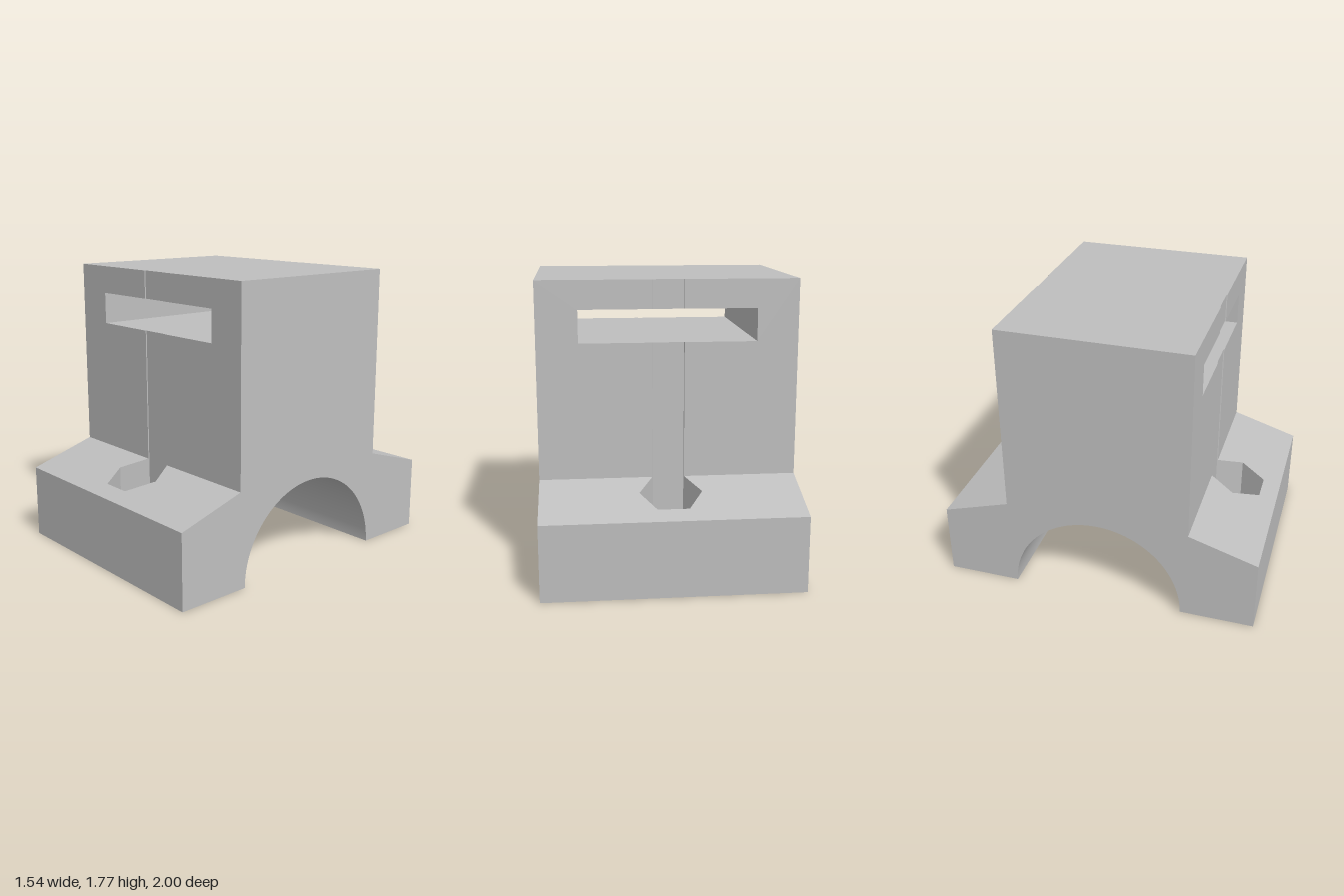
import * as THREE from 'three';

const W = 0.77;                      // half width
const TOP = 1.77, WALL = 0.575;      // upper block height and half depth
const FOOT = 0.46, SHOULDER = 0.59;  // flange height at its rim and at the block
const ARCH = 0.54, HOLE = 0.105;     // saddle and bolt hole radii
const HEX = 0.185, HEX_Z = 0.73, FLOOR = 0.25; // nut pocket
const SLOT_W = 0.525, SLOT_LO = 1.405, SLOT_HI = 1.6;

const slopeY = (z) => SHOULDER - (z - WALL) * (SHOULDER - FOOT) / (1 - WALL);

export function createModel() {
  const grey = new THREE.MeshStandardMaterial({ color: 0xbfbfbf, side: THREE.DoubleSide });
  grey.name = 'light grey';

  const model = new THREE.Group();
  model.name = 'saddleClamp';

  const add = (parent, name, geometry) => {
    const mesh = new THREE.Mesh(geometry, grey);
    mesh.name = name;
    parent.add(mesh);
    return mesh;
  };

  // Flat panel: a 2D outline placed in space by a mapping rule
  const panel = (parent, name, points, map, holes = []) => {
    const shape = new THREE.Shape(points.map(([a, b]) => new THREE.Vector2(a, b)));
    shape.holes.push(...holes);
    const geometry = new THREE.ShapeGeometry(shape, 24);
    const pos = geometry.attributes.position;
    for (let i = 0; i < pos.count; i++) pos.setXYZ(i, ...map(pos.getX(i), pos.getY(i)));
    geometry.computeVertexNormals();
    return add(parent, name, geometry);
  };
  const rect = (a0, b0, a1, b1) => [[a0, b0], [a1, b0], [a1, b1], [a0, b1]];
  const circle = (z) => new THREE.Path().absarc(0, z, HOLE, 0, Math.PI * 2);
  const up = (y) => (a, b) => [a, y, -b];
  const down = (y) => (a, b) => [a, y, b];
  const front = (z) => (a, b) => [a, b, z];
  const between = (p, q) => (t, y) => [p[0] + (q[0] - p[0]) * t, y, p[1] + (q[1] - p[1]) * t];

  // Hexagon corners in x, z
  const hex = [1, 2, 3, 4, 5, 6].map((i) => [
    HEX * Math.cos(i * Math.PI / 3), HEX_Z + HEX * Math.sin(i * Math.PI / 3),
  ]);
  const grooveX = HEX / 2, grooveZ = hex[3][1];
  const mouthX = grooveX + (WALL - grooveZ) / Math.sqrt(3); // groove width at the wall

  // Horizontal faces of the block, notched front and back by the nut grooves
  const notched = (w) => [
    [-w, -WALL], [-mouthX, -WALL], [-grooveX, -grooveZ], [grooveX, -grooveZ], [mouthX, -WALL], [w, -WALL],
    [w, WALL], [mouthX, WALL], [grooveX, grooveZ], [-grooveX, grooveZ], [-mouthX, WALL], [-w, WALL],
  ];
  panel(model, 'blockTop', notched(W), up(TOP));
  panel(model, 'slotFloor', notched(SLOT_W), up(SLOT_LO));
  panel(model, 'slotCeiling', notched(SLOT_W), down(SLOT_HI));
  const slotEnd = rect(-WALL, SLOT_LO, WALL, SLOT_HI);
  panel(model, 'slotEndLeft', slotEnd, (a, b) => [SLOT_W, b, a]);
  panel(model, 'slotEndRight', slotEnd, (a, b) => [-SLOT_W, b, -a]);

  // Side profile with the arch cut out
  const profile = [[1, 0], [1, FOOT], [WALL, SHOULDER], [WALL, TOP],
    [-WALL, TOP], [-WALL, SHOULDER], [-1, FOOT], [-1, 0]];
  for (let i = 0; i <= 64; i++) {
    const t = Math.PI * (1 - i / 64);
    profile.push([ARCH * Math.cos(t), ARCH * Math.sin(t)]);
  }
  panel(model, 'sideLeft', profile, (a, b) => [W, b, -a]);
  panel(model, 'sideRight', profile, (a, b) => [-W, b, a]);

  // Smooth saddle surface
  const saddle = new THREE.CylinderGeometry(ARCH, ARCH, 2 * W, 64, 1, true, 0, Math.PI);
  saddle.rotateZ(Math.PI / 2);
  add(model, 'archSurface', saddle);

  // Front and back halves are the same, turned half a circle
  for (const [name, angle] of [['front', 0], ['back', Math.PI]]) {
    const half = new THREE.Group();
    half.name = name + 'Half';
    half.rotation.y = angle;
    model.add(half);

    // Block wall on both sides of the groove, around the slot
    for (const s of [1, -1]) {
      panel(half, 'blockWall', [
        [mouthX, SHOULDER], [W, SHOULDER], [W, TOP], [mouthX, TOP],
        [mouthX, SLOT_HI], [SLOT_W, SLOT_HI], [SLOT_W, SLOT_LO], [mouthX, SLOT_LO],
      ].map(([x, y]) => [s * x, y]), front(WALL));
    }

    // Shallow groove above the nut pocket
    for (const [lo, hi] of [[FLOOR, SLOT_LO], [SLOT_HI, TOP]]) {
      panel(half, 'grooveBack', rect(-grooveX, lo, grooveX, hi), front(grooveZ));
      const from = Math.max(lo, SHOULDER);
      panel(half, 'grooveSide', rect(0, from, 1, hi), between([-mouthX, WALL], [-grooveX, grooveZ]));
      panel(half, 'grooveSide', rect(0, from, 1, hi), between([grooveX, grooveZ], [mouthX, WALL]));
    }

    // Flange: sloped top with hexagonal bite, outer face, underside
    panel(half, 'flangeSlope', [
      [-W, WALL], [-W, 1], [W, 1], [W, WALL], [mouthX, WALL],
      hex[5], hex[0], hex[1], hex[2], [-mouthX, WALL],
    ].map(([x, z]) => [x, -z]), (a, b) => [a, slopeY(-b), b]);
    panel(half, 'flangeFace', rect(-W, 0, W, FOOT), front(1));
    panel(half, 'flangeUnderside', rect(-W, ARCH, W, 1), down(0), [circle(HEX_Z)]);

    // Nut pocket walls and floor
    for (const i of [0, 1, 2, 4, 5]) {
      const p = hex[i], q = hex[(i + 1) % 6];
      panel(half, 'pocketWall',
        [[0, FLOOR], [1, FLOOR], [1, slopeY(q[1])], [0, slopeY(p[1])]], between(p, q));
    }
    panel(half, 'pocketFloor', hex.map(([x, z]) => [x, -z]), up(FLOOR), [circle(-HEX_Z)]);

    // Bolt hole
    const bore = new THREE.CylinderGeometry(HOLE, HOLE, FLOOR, 48, 1, true);
    bore.translate(0, FLOOR / 2, HEX_Z);
    add(half, 'boltHole', bore);
  }

  return model;
}
